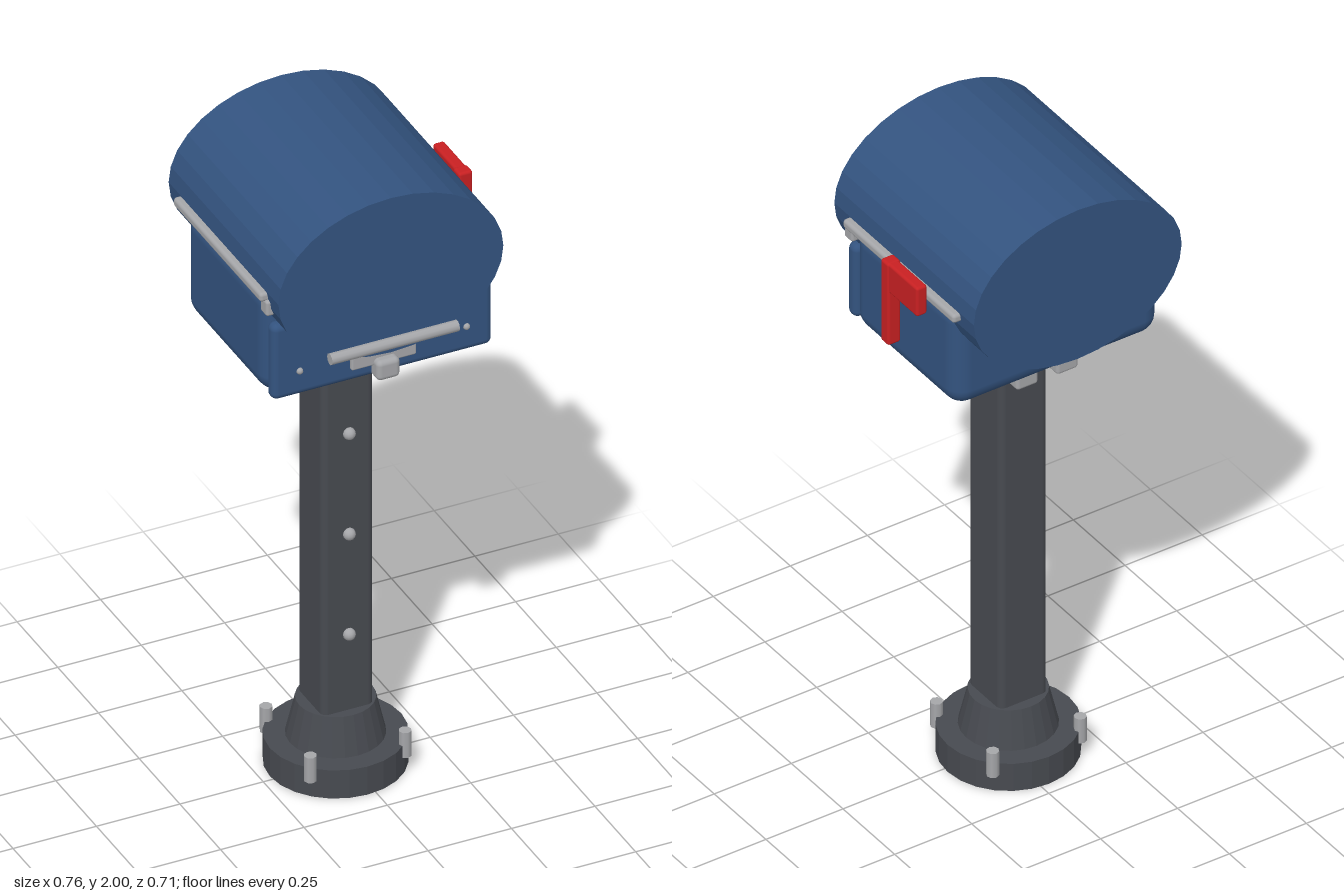
import * as THREE from 'three';
import { RoundedBoxGeometry } from 'three/addons/geometries/RoundedBoxGeometry.js';

const mat = (name, color) => {
  const m = new THREE.MeshStandardMaterial({ color });
  m.name = name;
  return m;
};

export function createModel() {
  const blue = mat('blue paint', 0x33537f);
  const iron = mat('dark iron', 0x474a50);
  const steel = mat('light steel', 0xa5a6a9);
  const red = mat('red paint', 0xc82022);
  const model = new THREE.Group();
  model.name = 'mailbox';
  const CX = -0.025, CZ = -0.017; // axis of the post

  const add = (name, geo, material, x = 0, y = 0, z = 0) => {
    const mesh = new THREE.Mesh(geo, material);
    mesh.name = name;
    mesh.position.set(x, y, z);
    model.add(mesh);
    return mesh;
  };
  // Rounded box given by its limits on each axis
  const block = (name, material, [x0, x1], [y0, y1], [z0, z1], r) =>
    add(name, new RoundedBoxGeometry(x1 - x0, y1 - y0, z1 - z0, 3, r), material,
      (x0 + x1) / 2, (y0 + y1) / 2, (z0 + z1) / 2);
  const faceted = (geo) => {
    const flat = geo.toNonIndexed();
    flat.computeVertexNormals();
    return flat;
  };

  // Round base, tapered collar and four anchor bolts
  add('baseDisk', faceted(new THREE.CylinderGeometry(0.197, 0.197, 0.09, 24)), iron, CX, 0.045, CZ);
  add('baseCollar', faceted(new THREE.CylinderGeometry(0.11, 0.138, 0.12, 24)), iron, CX, 0.145, CZ);
  for (const sx of [-1, 1]) for (const sz of [-1, 1])
    add('anchorBolt', new THREE.CylinderGeometry(0.018, 0.018, 0.08, 8), steel,
      CX + sx * 0.142, 0.092, CZ + sz * 0.136);

  // Square post with rivets on its front
  block('post', iron, [-0.103, 0.053], [0.15, 1.4], [-0.095, 0.063], 0.02);
  for (const y of [0.45, 0.772, 1.095])
    add('postRivet', new THREE.SphereGeometry(0.018, 12, 8), steel, CX, y, 0.067);

  // Mounting blocks under the box
  for (const [dx, z] of [[0.155, -0.1], [0.065, -0.175]]) for (const s of [-1, 1]) {
    const x = CX + s * dx;
    block('mountBlock', steel, [x - 0.035, x + 0.035], [1.345, 1.395], [z - 0.034, z + 0.034], 0.01);
  }

  // Lower box, its front door plate and the oval barrel above
  block('lowerBox', blue, [-0.36, 0.31], [1.4, 1.73], [-0.262, 0.24], 0.055);
  block('doorPlate', blue, [-0.355, 0.305], [1.41, 1.65], [0.23, 0.275], 0.02);
  const barrel = new THREE.CylinderGeometry(1, 1, 0.675, 32);
  barrel.rotateX(Math.PI / 2).scale(0.337, 0.248, 1);
  add('barrel', faceted(barrel), blue, -0.0235, 1.752, -0.0175);

  // Door screws, latch plate and latch
  for (const x of [-0.275, 0.225])
    add('doorScrew', new THREE.SphereGeometry(0.01, 10, 6), steel, x, 1.49, 0.275);
  block('latchPlate', steel, [-0.125, 0.07], [1.452, 1.512], [0.265, 0.288], 0.006);
  block('latch', steel, [-0.06, 0.01], [1.412, 1.475], [0.225, 0.315], 0.015);

  // Pull handle across the front with two short stems
  const bar = new THREE.CylinderGeometry(0.017, 0.017, 0.382, 10).rotateZ(Math.PI / 2);
  add('handleBar', bar, steel, -0.024, 1.546, 0.337);
  for (const x of [-0.185, 0.14])
    add('handleStem', new THREE.CylinderGeometry(0.011, 0.011, 0.07, 8).rotateX(Math.PI / 2),
      steel, x, 1.54, 0.3);

  // Side rails with a small clip under the front end
  for (const s of [-1, 1]) {
    const span = (a, b) => [CX + 0.002 + s * a, CX + 0.002 + s * b].sort((p, q) => p - q);
    block('sideRail', steel, span(0.318, 0.358), [1.722, 1.75], [-0.288, 0.25], 0.01);
    block('railClip', steel, span(0.31, 0.345), [1.68, 1.728], [0.222, 0.262], 0.008);
  }

  // Signal flag on the left side
  block('flagArm', red, [0.336, 0.378], [1.515, 1.787], [-0.037, 0.002], 0.008);
  block('flagPanel', red, [0.34, 0.374], [1.69, 1.786], [-0.17, -0.005], 0.008);

  return model;
}
